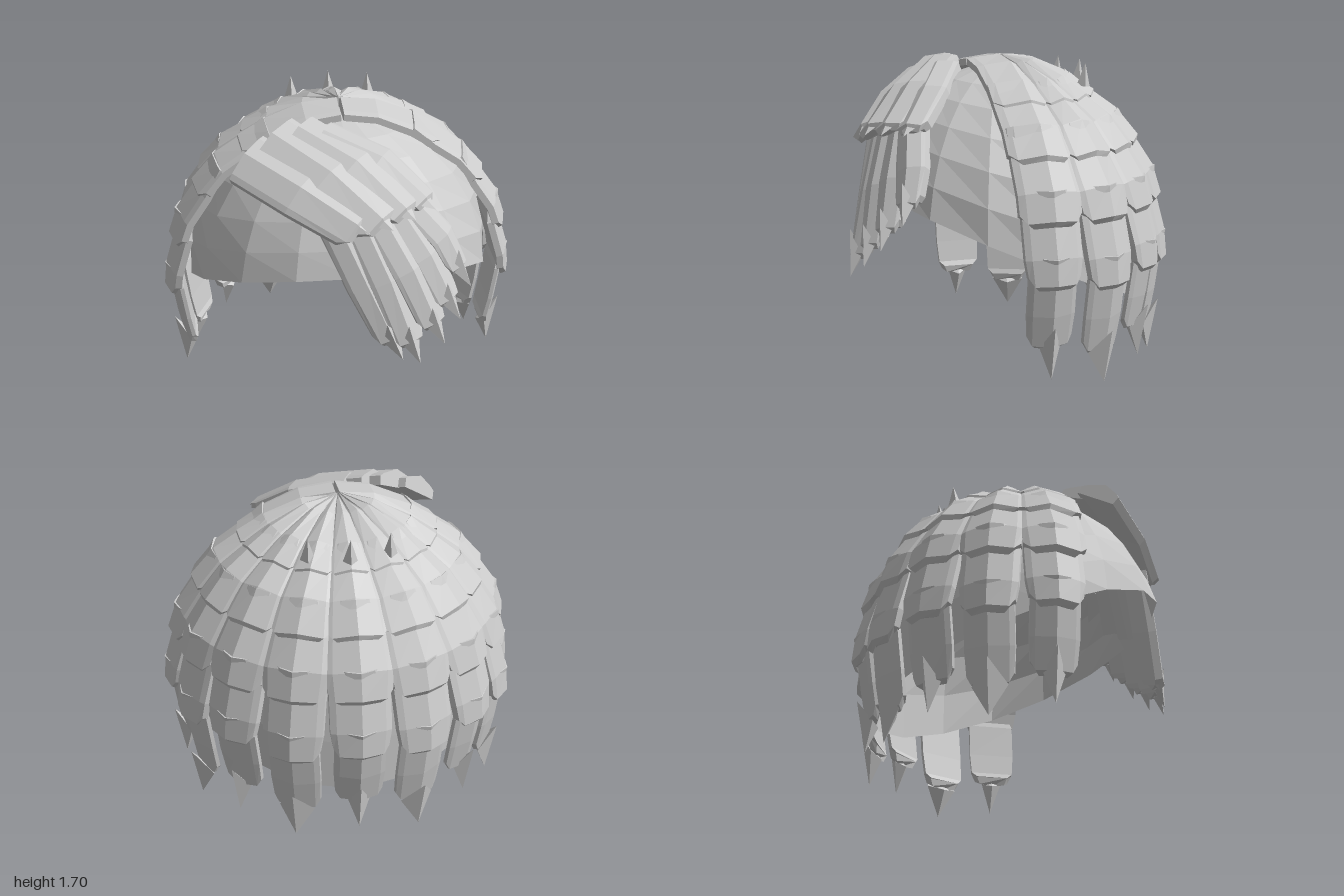
import * as THREE from 'three';
import { ConvexGeometry } from 'three/addons/geometries/ConvexGeometry.js';

const V = (x, y, z) => new THREE.Vector3(x, y, z);
const CENTRE = V(0, 0.6, 0);
const hair = new THREE.MeshStandardMaterial({ color: 0xcccccc, flatShading: true, side: THREE.DoubleSide });
hair.name = 'paleGreyHair';

function addMesh(parent, geometry, name) {
  const mesh = new THREE.Mesh(geometry, hair);
  mesh.name = name;
  parent.add(mesh);
  return mesh;
}

function buildGeometry(points, index) {
  const g = new THREE.BufferGeometry().setFromPoints(points);
  g.setIndex(index);
  const flat = g.toNonIndexed();
  flat.computeVertexNormals();
  return flat;
}

// Axes at a point: d along the lock, n outward from the head, s sideways
function frame(p, d) {
  const n = p.clone().sub(CENTRE);
  n.addScaledVector(d, -n.dot(d)).normalize();
  return { d, n, s: n.clone().cross(d) };
}

// Two-faced lock with a centre ridge, closed by a hem with cut corners
function lock(path, widths, thick) {
  const verts = [], index = [], last = path.length - 1;
  const ring = (p, f, [wl, wr], t, lift) => {
    const sag = 0.2 * Math.min(wl, wr);
    [[-1, -t - sag], [1, -t - sag], [1, -0.008 - sag], [0.8, -0.7 * sag], [0, 0.014], [-0.8, -0.7 * sag], [-1, -0.008 - sag]]
      .forEach(([u, v]) => verts.push(p.clone()
        .addScaledVector(f.s, u * (u < 0 ? wl : wr))
        .addScaledVector(f.n, v)
        .addScaledVector(f.d, Math.abs(u) === 1 ? -lift : 0)));
  };
  path.forEach((p, i) => {
    const d = path[Math.min(i + 1, last)].clone().sub(path[Math.max(i - 1, 0)]).normalize();
    const f = frame(p, d);
    ring(p, f, widths[i], thick, i === last ? 0.045 : 0);
    if (i === last) {
      const q = p.clone().addScaledVector(d, 0.025).addScaledVector(f.n, -0.03);
      ring(q, f, widths[i].map(w => w * 0.75), thick * 0.5, 0.04);
    }
  });
  const N = 7, rings = verts.length / N;
  for (let i = 0; i < rings - 1; i++) for (let j = 0; j < N; j++) {
    const a = i * N + j, b = i * N + (j + 1) % N;
    index.push(a, b, b + N, a, b + N, a + N);
  }
  const e = (rings - 1) * N;
  for (let j = 1; j < N - 1; j++) index.push(0, j + 1, j, e, e + j, e + j + 1);
  return buildGeometry(verts, index);
}

// Pointed tip flaring outward from the end of a lock
function spike(p, d, length, w, flare) {
  const { n, s } = frame(p, d);
  const at = (a, b, c) => p.clone().addScaledVector(d, a).addScaledVector(n, b).addScaledVector(s, c);
  return new ConvexGeometry([
    at(-length * 0.75, flare, 0), at(0, 0, w), at(0, 0, -w), at(0.02, -flare * 0.45, 0), at(length, flare * 0.35, 0),
  ]);
}

// Open scalp shell with a slanted hem, high in front and low behind
function scalp() {
  const verts = [], index = [], SEG = 16, ROWS = 7;
  for (let k = 0; k <= SEG; k++) {
    const a = k / SEG * Math.PI * 2;
    const hem = 0.655 + 0.355 * Math.cos(a);
    for (let i = 0; i <= ROWS; i++) {
      const y = hem + (1.645 - hem) * Math.cos(i / ROWS * Math.PI / 2);
      const r = y > 0.75 ? Math.sqrt(Math.max(0, 1 - ((y - 0.75) / 0.895) ** 2)) : 1;
      verts.push(V(0.85 * r * Math.sin(a), y, 0.82 * r * Math.cos(a)));
    }
  }
  for (let k = 0; k < SEG; k++) for (let i = 0; i < ROWS; i++) {
    const a = k * (ROWS + 1) + i, b = a + ROWS + 1;
    index.push(a, a + 1, b + 1, a, b + 1, b);
  }
  return buildGeometry(verts, index);
}

// Shingle layers of a hanging lock: [radius, height, half width];
// the narrow top of each layer peeks through the one above
const LAYERS = [
  [[0.01, 1.69, 0.002], [0.2, 1.67, 0.042], [0.4, 1.59, 0.084], [0.55, 1.5, 0.116]],
  [[0.405, 1.595, 0.06], [0.53, 1.5, 0.113], [0.68, 1.4, 0.143], [0.81, 1.25, 0.168]],
  [[0.69, 1.4, 0.09], [0.79, 1.24, 0.162], [0.9, 1.08, 0.182], [0.95, 0.93, 0.172]],
  [[0.91, 1.085, 0.09], [0.91, 0.96, 0.165], [0.975, 0.74, 0.165], [0.99, 0.6, 0.15]],
  [[0.983, 0.74, 0.09], [0.955, 0.62, 0.14], [0.925, 0.42, 0.14], [0.89, 0.25, 0.13]],
];

export function createModel() {
  const model = new THREE.Group();
  model.name = 'hair';
  addMesh(model, scalp(), 'scalp');

  // Nine layered locks around the sides and back
  const locks = new THREE.Group();
  locks.name = 'hangingLocks';
  locks.scale.z = 0.95;
  model.add(locks);
  for (let k = 0; k <= 8; k++) {
    const a = k * Math.PI / 8, odd = k % 2, drop = odd * 0.065;
    const at = (r, y) => V(r * Math.cos(a), y, -r * Math.sin(a));
    LAYERS.forEach((layer, li) => {
      const path = layer.map(([r, y]) => at(r, y - (y < 1 ? drop * (1 - y) / 0.75 : 0)));
      // The two foremost locks keep a straight front edge
      const widths = layer.map(([, , w]) => {
        const front = li < 2 ? 0.2 : li === 2 ? 0.185 : w;
        return [k === 0 ? front : w, k === 8 ? front : w];
      });
      addMesh(locks, lock(path, widths, li === 4 ? 0.03 : 0.045), 'lockLayer' + (li + 1));
    });
    addMesh(locks, spike(at(0.87, 0.24 - drop), V(0, -1, 0), 0.17, odd ? 0.1 : 0.06, 0.09), 'lockTip');
  }

  // Three small tufts on the crown
  for (const [x, z] of [[-0.22, -0.43], [0, -0.48], [0.22, -0.43]]) {
    const tuft = addMesh(model, new THREE.ConeGeometry(0.04, 0.13, 4), 'crownTuft');
    tuft.position.set(x, 1.595, z);
    tuft.rotation.x = -0.1;
  }

  // Swept fringe: [start, middle, end, half width]
  const upper = [
    [[-0.54, 1.57, 0.38], [-0.27, 1.47, 0.61], [0.0, 1.33, 0.79], 0.15],
    [[-0.39, 1.65, 0.32], [-0.11, 1.53, 0.57], [0.13, 1.35, 0.78], 0.16],
    [[-0.25, 1.67, 0.3], [0.03, 1.56, 0.52], [0.26, 1.37, 0.72], 0.13],
    [[-0.12, 1.65, 0.32], [0.17, 1.55, 0.47], [0.38, 1.38, 0.63], 0.11],
  ];
  const lower = [
    [[-0.09, 1.3, 0.72], [0.05, 0.98, 0.81], [0.18, 0.69, 0.89], 0.1],
    [[0.03, 1.32, 0.71], [0.17, 1.0, 0.82], [0.28, 0.68, 0.91], 0.1],
    [[0.13, 1.34, 0.69], [0.29, 1.05, 0.8], [0.41, 0.76, 0.87], 0.1],
    [[0.23, 1.35, 0.65], [0.39, 1.1, 0.74], [0.5, 0.86, 0.8], 0.1],
    [[0.32, 1.36, 0.61], [0.49, 1.17, 0.66], [0.57, 1.0, 0.7], 0.09],
  ];
  const fringe = (rows, name, tipLength, tipFlare) => rows.forEach(([p, q, r, w]) => {
    const path = [V(...p), V(...q), V(...r)];
    addMesh(model, lock(path, [[w, w], [w, w], [w * 0.85, w * 0.85]], 0.06), name);
    const d = path[2].clone().sub(path[1]).normalize();
    const root = path[2].clone().addScaledVector(frame(path[2], d).n, -0.02);
    addMesh(model, spike(root, d, tipLength, 0.05, tipFlare), name + 'Tip');
  });
  fringe(upper, 'upperFringe', 0.08, 0.03);
  fringe(lower, 'lowerFringe', 0.13, 0.06);
  return model;
}
